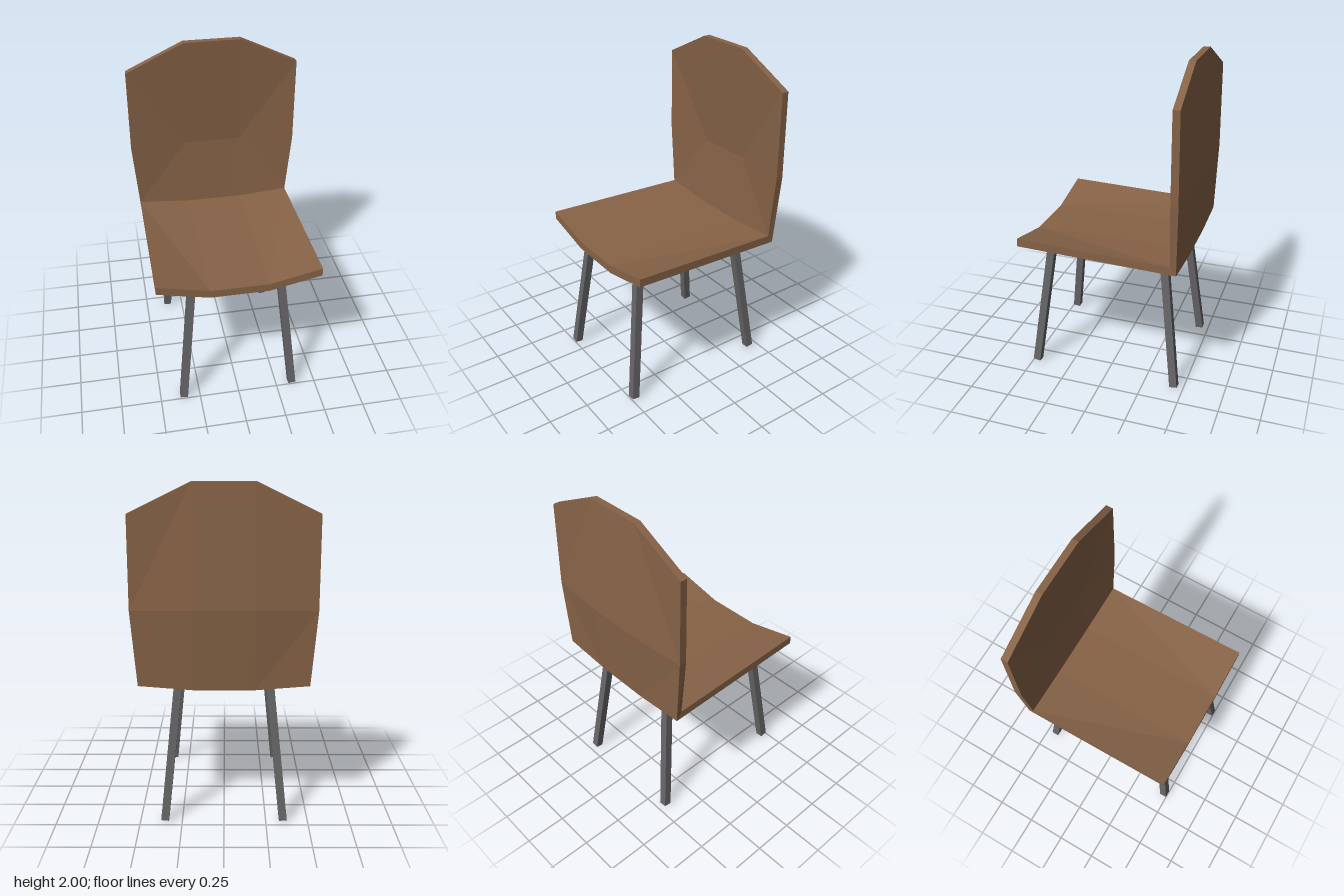
import * as THREE from 'three';

// Cross-sections from the seat's front lip to the top of the back:
// [edge x, y, z, inner x, y, z], mirrored to the other side
const UPPER = [
  [0.49, 0.94, 0.505, 0.175, 0.87, 0.505],
  [0.49, 0.91, -0.43, 0.175, 0.882, -0.435],
  [0.525, 1.3, -0.43, 0.175, 1.31, -0.465],
  [0.525, 1.83, -0.428, 0.175, 2.0, -0.42],
];
const LOWER = [
  [0.49, 0.89, 0.505, 0.175, 0.82, 0.505],
  [0.49, 0.86, -0.465, 0.175, 0.835, -0.465],
  [0.525, 1.3, -0.475, 0.175, 1.31, -0.505],
  [0.525, 1.83, -0.47, 0.175, 2.0, -0.46],
];

// Four points across one section, from right to left
function row(s) {
  const edge = s.slice(0, 3), inner = s.slice(3);
  const flip = ([x, y, z]) => [-x, y, z];
  return [flip(edge), flip(inner), inner, edge];
}

function shellGeometry() {
  const up = UPPER.map(row), low = LOWER.map(row);
  const pos = [];
  const tri = (a, b, c) => pos.push(...a, ...b, ...c);
  const quad = (a, b, c, d, alt = false) => {
    if (alt) { tri(a, b, d); tri(b, c, d); } else { tri(a, b, c); tri(a, c, d); }
  };
  const last = up.length - 1;
  for (let r = 0; r < last; r++) {
    for (let c = 0; c < 3; c++) {
      // creases alternate and mirror about the middle
      const alt = (r % 2 === 0) === (c === 0);
      quad(up[r][c], up[r][c + 1], up[r + 1][c + 1], up[r + 1][c], alt);
      quad(low[r][c + 1], low[r][c], low[r + 1][c], low[r + 1][c + 1], alt);
    }
    // side rims
    quad(up[r][3], low[r][3], low[r + 1][3], up[r + 1][3]);
    quad(low[r][0], up[r][0], up[r + 1][0], low[r + 1][0]);
  }
  // front lip and top rim
  for (let c = 0; c < 3; c++) {
    quad(low[0][c], low[0][c + 1], up[0][c + 1], up[0][c]);
    quad(up[last][c], up[last][c + 1], low[last][c + 1], low[last][c]);
  }
  const geo = new THREE.BufferGeometry();
  geo.setAttribute('position', new THREE.Float32BufferAttribute(pos, 3));
  geo.computeVertexNormals();
  return geo;
}

// Square bar running from the floor up into the seat
function makeLeg(name, bottom, top, material) {
  const axis = top.clone().sub(bottom);
  const leg = new THREE.Mesh(new THREE.BoxGeometry(0.047, axis.length(), 0.047), material);
  leg.position.copy(bottom).add(top).multiplyScalar(0.5);
  leg.quaternion.setFromUnitVectors(new THREE.Vector3(0, 1, 0), axis.normalize());
  leg.name = name;
  return leg;
}

export function createModel() {
  const wood = new THREE.MeshStandardMaterial({ color: 0x876347, flatShading: true });
  wood.name = 'brown wood';
  const metal = new THREE.MeshStandardMaterial({ color: 0x666466, flatShading: true });
  metal.name = 'grey metal';

  const chair = new THREE.Group();
  chair.name = 'chair';

  // Seat and back are one bent sheet
  const shell = new THREE.Mesh(shellGeometry(), wood);
  shell.name = 'seatAndBack';
  chair.add(shell);

  // Splayed legs
  const legs = new THREE.Group();
  legs.name = 'legs';
  for (const [side, s] of [['Left', 1], ['Right', -1]]) {
    for (const [end, zBottom, zTop] of [['front', 0.475, 0.37], ['back', -0.44, -0.335]]) {
      legs.add(makeLeg(`${end}${side}Leg`,
        new THREE.Vector3(0.353 * s, 0.005, zBottom),
        new THREE.Vector3(0.266 * s, 0.855, zTop), metal));
    }
  }
  chair.add(legs);
  return chair;
}
